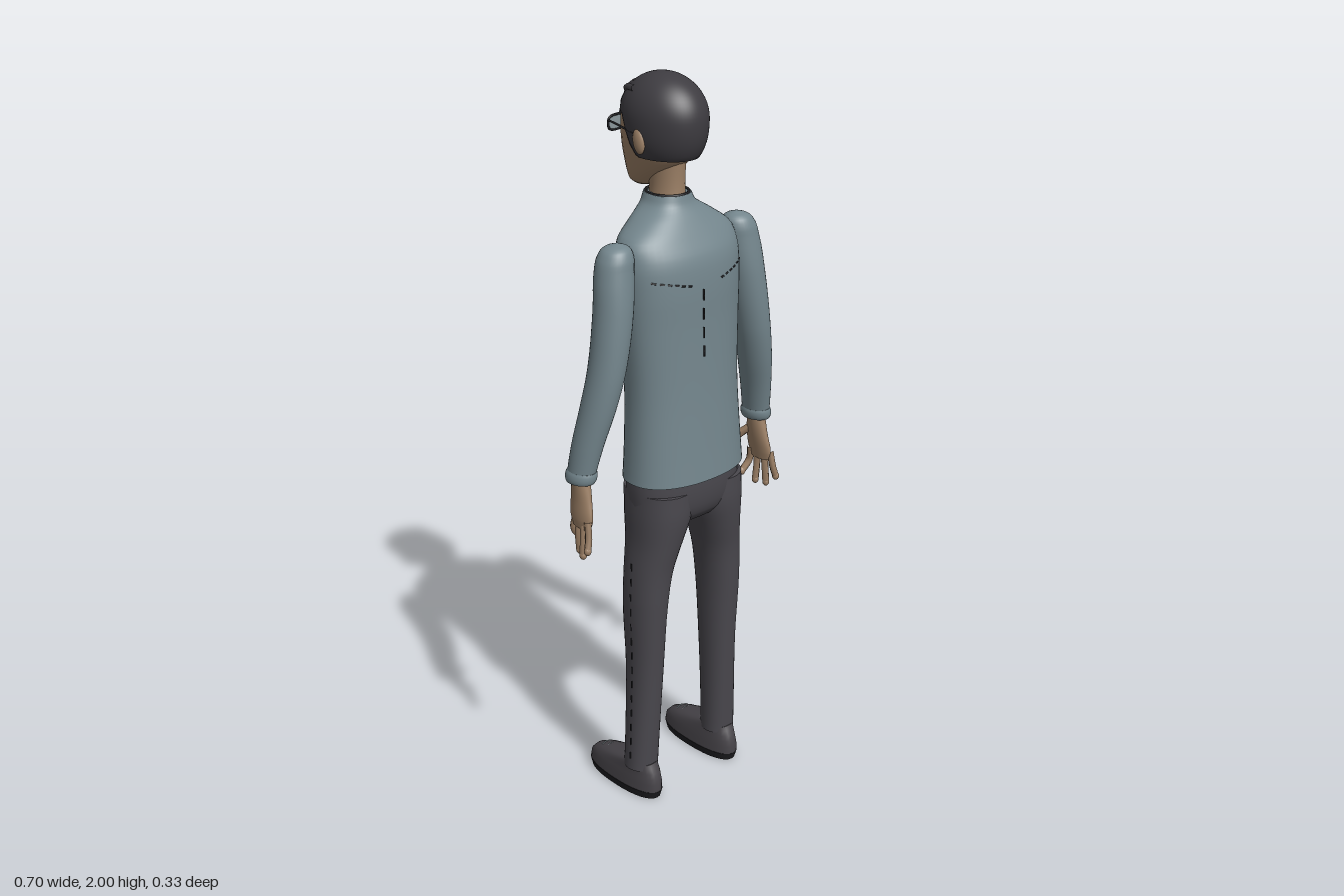
import * as THREE from 'three';

const mat = (name, color, side = THREE.FrontSide) => {
  const m = new THREE.MeshStandardMaterial({ color, side });
  m.name = name;
  return m;
};

// Stack of horizontal rings; keys are [y, centreX, centreZ, radiusX, radiusZ].
function sampler(keys) {
  const f = new THREE.CubicInterpolant(keys.map(k => k[0]), keys.flatMap(k => k.slice(1)), 4, new Float32Array(4));
  return y => Array.from(f.evaluate(y));
}
function loft(keys, { side = 1, pow = 2, sub = 4, seg = 32 } = {}) {
  const at = sampler(keys), pos = [], idx = [], rows = [];
  keys.forEach((k, j) => {
    const n = j < keys.length - 1 ? sub : 1;
    for (let s = 0; s < n; s++) rows.push(s ? k[0] + (keys[j + 1][0] - k[0]) * s / sub : k[0]);
  });
  const bend = v => Math.sign(v) * Math.abs(v) ** (2 / pow);
  const ring = y => {
    const [cx, cz, rx, rz] = at(y);
    for (let i = 0; i < seg; i++) {
      const a = i / seg * Math.PI * 2;
      pos.push(side * cx + rx * bend(Math.cos(a)), y, cz + rz * bend(Math.sin(a)));
    }
  };
  rows.forEach(ring);
  for (let j = 0; j < rows.length - 1; j++) for (let i = 0; i < seg; i++) {
    const a = j * seg + i, b = j * seg + (i + 1) % seg, c = a + seg, d = b + seg;
    idx.push(a, c, b, b, c, d);
  }
  [rows[0], rows[rows.length - 1]].forEach((y, top) => {
    const base = pos.length / 3, [cx, cz] = at(y);
    ring(y);
    pos.push(side * cx, y, cz);
    for (let i = 0; i < seg; i++) {
      const p = base + i, q = base + (i + 1) % seg;
      idx.push(base + seg, top ? q : p, top ? p : q);
    }
  });
  return surface(pos, idx);
}
function surface(pos, idx) {
  const g = new THREE.BufferGeometry();
  g.setAttribute('position', new THREE.Float32BufferAttribute(pos, 3));
  g.setIndex(idx);
  g.computeVertexNormals();
  return g;
}
const tube = (pts, r, closed = false, n = 16) => new THREE.TubeGeometry(
  new THREE.CatmullRomCurve3(pts.map(p => new THREE.Vector3(...p)), closed), n, r, 6, closed);

// Cap of hair with a hairline that is high over the face and low at the nape.
function hairCap() {
  const pos = [], idx = [], seg = 72, rows = 24;
  for (let j = 0; j <= rows + 1; j++) for (let i = 0; i < seg; i++) {
    const a = i / seg * Math.PI * 2, front = -Math.sin(a);
    const edge = 1.795 + 0.1 * THREE.MathUtils.smoothstep(front, 0.12, 0.5) + 0.03 * THREE.MathUtils.smoothstep(front, 0.5, 1);
    const t = Math.min(j / rows, 1);
    const y = 2 - (2 - edge) * (1 - Math.cos(t * Math.PI / 2)) ** 0.95;
    const d = y - 1.89;
    let r = d > 0 ? Math.sqrt(Math.max(0, 1 - (d / 0.11) ** 2)) : (1 - (-d / 0.14) ** 2.3) ** (1 / 2.3);
    if (front > 0.2) r *= 1 + 0.016 * (front - 0.2) * t * Math.sin(a * 22 + t * 5);
    if (j > rows) r *= 0.85;
    pos.push(0.098 * r * Math.cos(a), y, -0.022 + 0.127 * r * Math.sin(a));
  }
  for (let j = 0; j <= rows; j++) for (let i = 0; i < seg; i++) {
    const a = j * seg + i, b = j * seg + (i + 1) % seg, c = a + seg, d = b + seg;
    idx.push(a, b, c, b, d, c);
  }
  return surface(pos, idx);
}

export function createModel() {
  const model = new THREE.Group();
  model.name = 'standingMan';
  const shirt = mat('shirtBlueGrey', 0x74868d), pants = mat('trouserCharcoal', 0x4a484e);
  const hair = mat('hairDark', 0x3e3c41), skin = mat('skinBrown', 0x9c8066);
  const shoe = mat('shoeCharcoal', 0x474449), dark = mat('stitchBlack', 0x1d1d20);
  const glass = mat('lensGrey', 0x8b989c), pale = mat('paleCloth', 0xaeb9bb, THREE.DoubleSide);
  const lip = mat('lipBrown', 0x7c5a4a);
  const add = (name, geo, m, parent = model) => {
    const mesh = new THREE.Mesh(geo, m);
    mesh.name = name;
    parent.add(mesh);
    return mesh;
  };
  const ball = (name, m, p, s) => {
    const b = add(name, new THREE.SphereGeometry(1, 20, 14), m);
    b.position.set(...p);
    b.scale.set(...s);
    return b;
  };

  // Shirt body
  const torso = [
    [0.96, 0, 0.050, 0.180, 0.114], [1.05, 0, 0.048, 0.174, 0.109], [1.20, 0, 0.043, 0.168, 0.104],
    [1.38, 0, 0.036, 0.176, 0.104], [1.50, 0, 0.032, 0.181, 0.105], [1.56, 0, 0.026, 0.180, 0.101],
    [1.605, 0, 0.015, 0.168, 0.088], [1.645, 0, 0.003, 0.115, 0.075], [1.675, 0, -0.008, 0.070, 0.066],
    [1.70, 0, -0.011, 0.056, 0.061]];
  add('shirtBody', loft(torso, { pow: 2.25, seg: 48 }), shirt);
  const neckband = add('collarRim', new THREE.TorusGeometry(1, 0.07, 8, 36), dark);
  neckband.rotation.x = Math.PI / 2;
  neckband.position.set(0, 1.70, -0.011);
  neckband.scale.set(0.052, 0.057, 0.06);

  // Stitching laid on the shirt surface
  const torsoAt = sampler(torso);
  const onShirt = (x, y, s) => {
    const [, cz, rx, rz] = torsoAt(y);
    return [x, y, cz + s * (rz * (1 - Math.abs(x / rx) ** 2.25) ** (1 / 2.25) + 0.0005)];
  };
  const dash = (name, x0, y0, x1, y1, s, r = 0.0025) =>
    add(name, tube([onShirt(x0, y0, s), onShirt(x1, y1, s)], r, false, 2), dark);
  for (let i = 0; i < 13; i++) dash('placketStitch', 0, 1.0 + i * 0.047, 0, 1.035 + i * 0.047, -1);
  for (let i = 0; i < 4; i++) dash('backSeam', -0.012, 1.30 + i * 0.05, -0.012, 1.33 + i * 0.05, 1);
  for (const s of [-1, 1]) for (let i = 0; i < 6; i++) {
    const x = 0.05 + i * 0.018;
    dash('yokeStitch', s * x, 1.485 + x * 0.2, s * (x + 0.011), 1.487 + x * 0.2, 1);
  }
  dash('pocketPen', 0.095, 1.46, 0.095, 1.54, -1, 0.004);
  for (let i = 0; i < 4; i++) dash('pocketStitch', 0.06 + i * 0.019, 1.5, 0.07 + i * 0.019, 1.5, -1);

  // Collar points and undershirt
  const tri = (name, pts, m) => add(name, surface(pts.flat(), [0, 1, 2]), m);
  const cloth = mat('shirtBlueGrey', 0x74868d);
  cloth.side = THREE.DoubleSide;
  tri('undershirt', [[-0.02, 1.695, -0.077], [0.02, 1.695, -0.077], [0, 1.645, -0.08]], pale);
  for (const s of [-1, 1])
    tri('collarPoint', [[s * 0.055, 1.695, -0.045], [s * 0.012, 1.70, -0.078], [s * 0.035, 1.635, -0.083]], cloth);

  // Hips, with legs, shoes, arms and hands on both sides
  add('hips', loft([[0.835, 0, 0.05, 0.13, 0.07], [0.86, 0, 0.051, 0.16, 0.088], [0.91, 0, 0.05, 0.171, 0.102],
    [0.98, 0, 0.048, 0.173, 0.106]], { pow: 2.2 }), pants);
  for (const side of [-1, 1]) {
    add('trouserLeg', loft([[0.085, 0.146, 0.040, 0.046, 0.045], [0.20, 0.142, 0.043, 0.045, 0.048],
      [0.40, 0.135, 0.046, 0.046, 0.055], [0.60, 0.132, 0.047, 0.053, 0.067], [0.70, 0.122, 0.049, 0.058, 0.072],
      [0.78, 0.106, 0.052, 0.066, 0.083], [0.86, 0.091, 0.052, 0.080, 0.095], [0.93, 0.088, 0.05, 0.08, 0.098]],
    { side, pow: 2.2 }), pants);
    for (let i = 0; i < 14; i++) {
      const y = 0.12 + i * 0.045;
      const x = y < 0.4 ? 0.1905 - (y - 0.12) * 0.033 : 0.1812 + Math.min(y - 0.4, 0.2) * 0.02 - Math.max(0, y - 0.6) * 0.05;
      add('legSeam', tube([[side * x, y, 0.046], [side * x, y + 0.022, 0.046]], 0.002, false, 2), dark);
    }
    add('shoeSole', loft([[0, 0.144, -0.027, 0.045, 0.133], [0.022, 0.144, -0.027, 0.049, 0.140]],
      { side, pow: 2.3, sub: 1 }), dark);
    add('shoeUpper', loft([[0.02, 0.144, -0.027, 0.048, 0.139], [0.045, 0.144, -0.025, 0.047, 0.137],
      [0.062, 0.144, -0.019, 0.045, 0.127], [0.077, 0.144, -0.006, 0.043, 0.109], [0.09, 0.145, 0.014, 0.041, 0.081],
      [0.102, 0.145, 0.036, 0.039, 0.052]], { side, pow: 2.3, sub: 1 }), shoe);
    for (let i = 0; i < 4; i++) {
      const z = -0.115 + i * 0.022, y = 0.078 + i * 0.0045;
      add('shoeLace', tube([[side * 0.125, y - 0.002, z + 0.006], [side * 0.144, y, z], [side * 0.163, y - 0.002, z + 0.006]],
        0.002, false, 6), glass);
    }
    add('sleeve', loft([[1.0, 0.314, 0.005, 0.032, 0.040], [1.03, 0.310, 0.008, 0.034, 0.042],
      [1.10, 0.298, 0.018, 0.038, 0.046], [1.20, 0.275, 0.034, 0.043, 0.051], [1.30, 0.253, 0.044, 0.046, 0.053],
      [1.45, 0.228, 0.042, 0.050, 0.053], [1.55, 0.215, 0.032, 0.050, 0.050], [1.59, 0.208, 0.03, 0.043, 0.043],
      [1.607, 0.205, 0.03, 0.028, 0.028], [1.614, 0.203, 0.03, 0.008, 0.008]], { side }), shirt);
    add('cuff', loft([[1.0, 0.314, 0.005, 0.034, 0.043], [1.008, 0.313, 0.006, 0.037, 0.046],
      [1.022, 0.311, 0.007, 0.037, 0.046], [1.03, 0.310, 0.008, 0.034, 0.043]], { side, sub: 2 }), shirt);
    add('palm', loft([[0.875, 0.322, 0.018, 0.012, 0.032], [0.90, 0.321, 0.016, 0.015, 0.041],
      [0.95, 0.316, 0.010, 0.018, 0.037], [1.01, 0.313, 0.006, 0.022, 0.027]], { side }), skin);
    for (let i = 0; i < 4; i++) {
      const z = -0.014 + i * 0.021, x = 0.314 + i * 0.005, tip = [0.825, 0.802, 0.80, 0.825][i];
      const end = [side * (x + [-0.02, 0, 0.008, 0.012][i]), tip, z + (i - 1.5) * 0.008];
      add('finger', tube([[side * x, 0.90, z], [side * (x + 0.004), 0.855, z + (i - 1.5) * 0.005], end], 0.0098), skin);
      ball('fingertip', skin, end, [0.0098, 0.012, 0.0098]);
    }
    const thumb = [side * 0.262, 0.90, -0.064];
    add('thumb', tube([[side * 0.314, 0.965, -0.008], [side * 0.292, 0.935, -0.038], thumb], 0.012), skin);
    ball('thumbTip', skin, thumb, [0.012, 0.013, 0.012]);
  }

  // Head and neck
  add('neck', loft([[1.65, 0, -0.010, 0.048, 0.055], [1.72, 0, -0.012, 0.041, 0.051], [1.81, 0, -0.012, 0.046, 0.056]]), skin);
  add('head', loft([[1.703, 0, -0.100, 0.020, 0.025], [1.713, 0, -0.092, 0.036, 0.042], [1.735, 0, -0.076, 0.052, 0.062],
    [1.77, 0, -0.055, 0.067, 0.088], [1.81, 0, -0.042, 0.079, 0.105], [1.86, 0, -0.032, 0.087, 0.115],
    [1.92, 0, -0.028, 0.084, 0.110], [1.965, 0, -0.025, 0.058, 0.078]], { pow: 2.15 }), skin);
  add('hair', hairCap(), hair);
  for (let i = 0; i < 6; i++) {
    const x = 0.062 - i * 0.022, z = -0.137 + Math.abs(x) * 0.5;
    add('fringeLock', tube([[x - 0.022, 1.976 - Math.abs(x - 0.02) * 0.2, z + 0.06], [x - 0.008, 1.955, z + 0.016],
      [x + 0.012, 1.922, z + 0.003]], 0.009), hair);
  }
  add('noseBridge', tube([[0, 1.865, -0.143], [0, 1.83, -0.150], [0, 1.802, -0.156]], 0.009), skin);
  ball('noseTip', skin, [0, 1.798, -0.153], [0.016, 0.011, 0.014]);
  ball('upperLip', lip, [0, 1.757, -0.139], [0.024, 0.005, 0.007]);
  ball('lowerLip', lip, [0, 1.748, -0.137], [0.02, 0.005, 0.007]);
  for (const s of [-1, 1]) {
    ball('ear', skin, [s * 0.093, 1.842, -0.012], [0.011, 0.033, 0.019]).rotation.x = -0.15;
    add('eyebrow', tube([[s * 0.018, 1.888, -0.143], [s * 0.04, 1.893, -0.136], [s * 0.062, 1.886, -0.117]], 0.004), hair);

    // Spectacles
    const rim = new THREE.Group();
    rim.name = 'spectacleSide';
    rim.position.set(s * 0.042, 1.856, -0.154);
    rim.rotation.y = -s * 0.1;
    model.add(rim);
    const outline = [...Array(16).keys()].map(i => {
      const a = i / 16 * Math.PI * 2, c = Math.cos(a), d = Math.sin(a);
      return [0.031 * Math.sign(c) * Math.abs(c) ** 0.6, 0.019 * Math.sign(d) * Math.abs(d) ** 0.6, 0];
    });
    add('rim', tube(outline, 0.0032, true, 48), dark, rim);
    const lens = new THREE.Shape(outline.map(p => new THREE.Vector2(p[0], p[1])));
    add('lens', new THREE.ExtrudeGeometry(lens, { depth: 0.002, bevelEnabled: false }), glass, rim).position.z = -0.001;
    add('temple', tube([[s * 0.073, 1.865, -0.151], [s * 0.082, 1.865, -0.11], [s * 0.097, 1.858, -0.015]], 0.003), dark);
  }
  add('spectacleBridge', tube([[-0.012, 1.862, -0.157], [0, 1.866, -0.161], [0.012, 1.862, -0.157]], 0.003), dark);
  return model;
}
